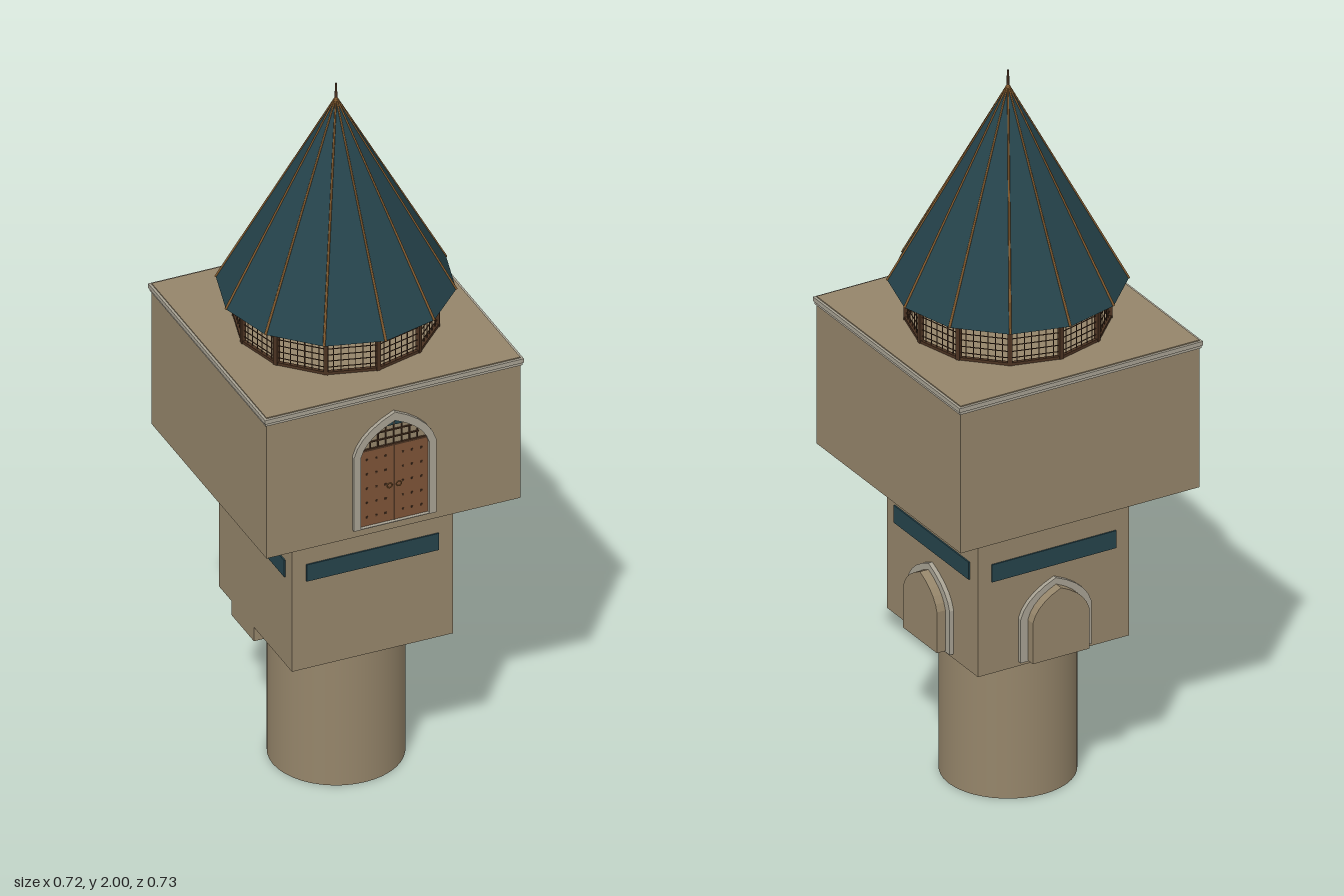
import * as THREE from 'three';

const mat = (name, color) => {
  const m = new THREE.MeshStandardMaterial({ color });
  m.name = name;
  return m;
};

export function createModel() {
  const wall = mat('sandstone', 0x95856a);
  const trim = mat('pale stone', 0xa8a293);
  const teal = mat('teal tile', 0x25434b);
  const wood = mat('door wood', 0x7d5337);
  const dark = mat('dark wood', 0x4a3221);
  const gold = mat('bronze', 0x80592e);

  const model = new THREE.Group();
  model.name = 'tower';

  const add = (parent, name, geo, material, x = 0, y = 0, z = 0) => {
    const mesh = new THREE.Mesh(geo, material);
    mesh.name = name;
    mesh.position.set(x, y, z);
    parent.add(mesh);
    return mesh;
  };
  const box = (parent, name, material, w, h, d, x, y, z) =>
    add(parent, name, new THREE.BoxGeometry(w, h, d), material, x, y, z);
  const group = (name, parent = model) => {
    const g = new THREE.Group();
    g.name = name;
    parent.add(g);
    return g;
  };

  // Pointed arch outline: half width, bottom, spring line, apex
  const trace = (path, w, y0, ys, ya) => {
    const yc = ys + (ya - ys) * 0.62;
    path.moveTo(-w, y0);
    path.lineTo(w, y0);
    path.lineTo(w, ys);
    path.quadraticCurveTo(w * 0.85, yc, 0, ya);
    path.quadraticCurveTo(-w * 0.85, yc, -w, ys);
    path.lineTo(-w, y0);
    return path;
  };
  const archGeo = (outer, depth, inner) => {
    const shape = trace(new THREE.Shape(), ...outer);
    if (inner) shape.holes.push(trace(new THREE.Path(), ...inner));
    return new THREE.ExtrudeGeometry(shape, { depth, bevelEnabled: false, curveSegments: 5 });
  };

  // Round shaft and square middle storey
  add(model, 'roundShaft', new THREE.CylinderGeometry(0.177, 0.177, 0.42, 40), wall, 0, 0.21, 0);
  box(model, 'middleStorey', wall, 0.45, 0.45, 0.45, 0, 0.642, 0);
  box(model, 'undersideBlock', wall, 0.12, 0.045, 0.14, -0.165, 0.3975, -0.08);

  // Tile bands on all four faces
  for (let i = 0; i < 4; i++) {
    const side = group('tileBands');
    side.rotation.y = i * Math.PI / 2;
    box(side, 'upperBand', teal, 0.4, 0.055, 0.006, 0, 0.838, 0.226);
    box(side, 'lowerBand', teal, 0.37, 0.05, 0.006, 0, 0.705, 0.226);
  }

  // Projecting arched bays on the left and back faces
  for (const angle of [Math.PI / 2, Math.PI]) {
    const bay = group('archedBay');
    bay.rotation.y = angle;
    const inner = [0.084, 0.433, 0.55, 0.63];
    add(bay, 'bayBlock', archGeo(inner, 0.037), wall, 0, 0, 0.225);
    add(bay, 'bayFrame', archGeo([0.105, 0.43, 0.555, 0.648], 0.012, inner), trim, 0, 0, 0.225);
  }

  // Beam ends below the overhang
  for (const s of [-1, 1]) {
    const beam = add(model, 'beamEnd', new THREE.CylinderGeometry(0.009, 0.009, 0.04, 10), gold, s * 0.235, 0.845, 0);
    beam.rotation.z = Math.PI / 2;
  }

  // Overhanging upper storey with cornice
  box(model, 'upperStorey', wall, 0.71, 0.405, 0.71, 0, 1.0675, 0);
  box(model, 'lowerCornice', trim, 0.718, 0.008, 0.718, 0, 1.269, 0);
  box(model, 'upperCornice', trim, 0.724, 0.012, 0.724, 0, 1.279, 0);
  box(model, 'terrace', wall, 0.71, 0.004, 0.71, 0, 1.286, 0);

  // Gate with frame, two studded leaves and a grille above
  const gate = group('gate');
  const opening = [0.096, 0.892, 1.105, 1.195];
  add(gate, 'gateFrame', archGeo([0.115, 0.89, 1.11, 1.22], 0.012, opening), trim, 0, 0, 0.354);
  const leafGroup = [-1, 1].map((s) => {
    const leaf = group(s < 0 ? 'rightLeaf' : 'leftLeaf', gate);
    box(leaf, 'panel', wood, 0.093, 0.224, 0.005, s * 0.0485, 1.006, 0.3565);
    for (let r = 0; r < 5; r++) {
      for (let c = 0; c < 3; c++) {
        box(leaf, 'stud', dark, 0.005, 0.005, 0.003, s * (0.024 + c * 0.026), 0.92 + r * 0.043, 0.36);
      }
    }
    add(leaf, 'ringHandle', new THREE.TorusGeometry(0.007, 0.0015, 6, 14), gold, s * 0.013, 1.0, 0.361);
    return leaf;
  });
  gate.userData.leaves = leafGroup.length;
  box(gate, 'doorGap', dark, 0.004, 0.224, 0.006, 0, 1.006, 0.357);
  box(gate, 'lintel', dark, 0.186, 0.006, 0.006, 0, 1.12, 0.357);
  for (let i = -3; i <= 3; i++) {
    const top = 1.188 - Math.abs(i) * 0.013;
    box(gate, 'grilleBar', dark, 0.003, top - 1.12, 0.004, i * 0.022, (top + 1.12) / 2, 0.357);
  }
  for (const [y, w] of [[1.142, 0.14], [1.164, 0.1]]) {
    box(gate, 'grilleRail', dark, w, 0.003, 0.004, 0, y, 0.357);
  }
  add(gate, 'archTile', archGeo([0.03, 1.178, 1.18, 1.195], 0.003), teal, 0, 0, 0.355);

  // Twelve-sided lantern of posts and fine lattice
  const lantern = group('lantern');
  const R = 0.26, N = 12, step = Math.PI * 2 / N;
  const sideLength = 2 * R * Math.sin(step / 2), apothem = R * Math.cos(step / 2);
  for (let i = 0; i < N; i++) {
    const corner = group('post', lantern);
    corner.rotation.y = i * step;
    box(corner, 'postShaft', dark, 0.012, 0.12, 0.012, 0, 1.345, R);
    const panel = group('latticePanel', lantern);
    panel.rotation.y = (i + 0.5) * step;
    for (const y of [1.292, 1.398]) box(panel, 'rail', dark, sideLength, 0.008, 0.01, 0, y, apothem);
    for (let k = 1; k < 7; k++) {
      box(panel, 'latticeUpright', dark, 0.002, 0.11, 0.002, (k / 7 - 0.5) * sideLength, 1.345, apothem);
    }
    for (let k = 1; k < 6; k++) {
      box(panel, 'latticeCross', dark, sideLength, 0.002, 0.002, 0, 1.29 + k * 0.018, apothem);
    }
  }

  // Faceted spire with ribs on its edges and a finial
  const spire = group('spire');
  const cone = new THREE.ConeGeometry(0.308, 0.56, N).toNonIndexed();
  cone.computeVertexNormals();
  add(spire, 'spireRoof', cone, teal, 0, 1.68, 0);
  const apex = new THREE.Vector3(0, 1.96, 0);
  for (let i = 0; i < N; i++) {
    const foot = new THREE.Vector3(Math.sin(i * step) * 0.308, 1.4, Math.cos(i * step) * 0.308);
    const rib = add(spire, 'rib', new THREE.CylinderGeometry(0.0025, 0.0035, foot.distanceTo(apex), 6), gold);
    rib.position.copy(foot).lerp(apex, 0.5);
    rib.quaternion.setFromUnitVectors(new THREE.Vector3(0, 1, 0), apex.clone().sub(foot).normalize());
  }
  add(spire, 'finial', new THREE.CylinderGeometry(0.003, 0.004, 0.06, 8), dark, 0, 1.97, 0);

  return model;
}
